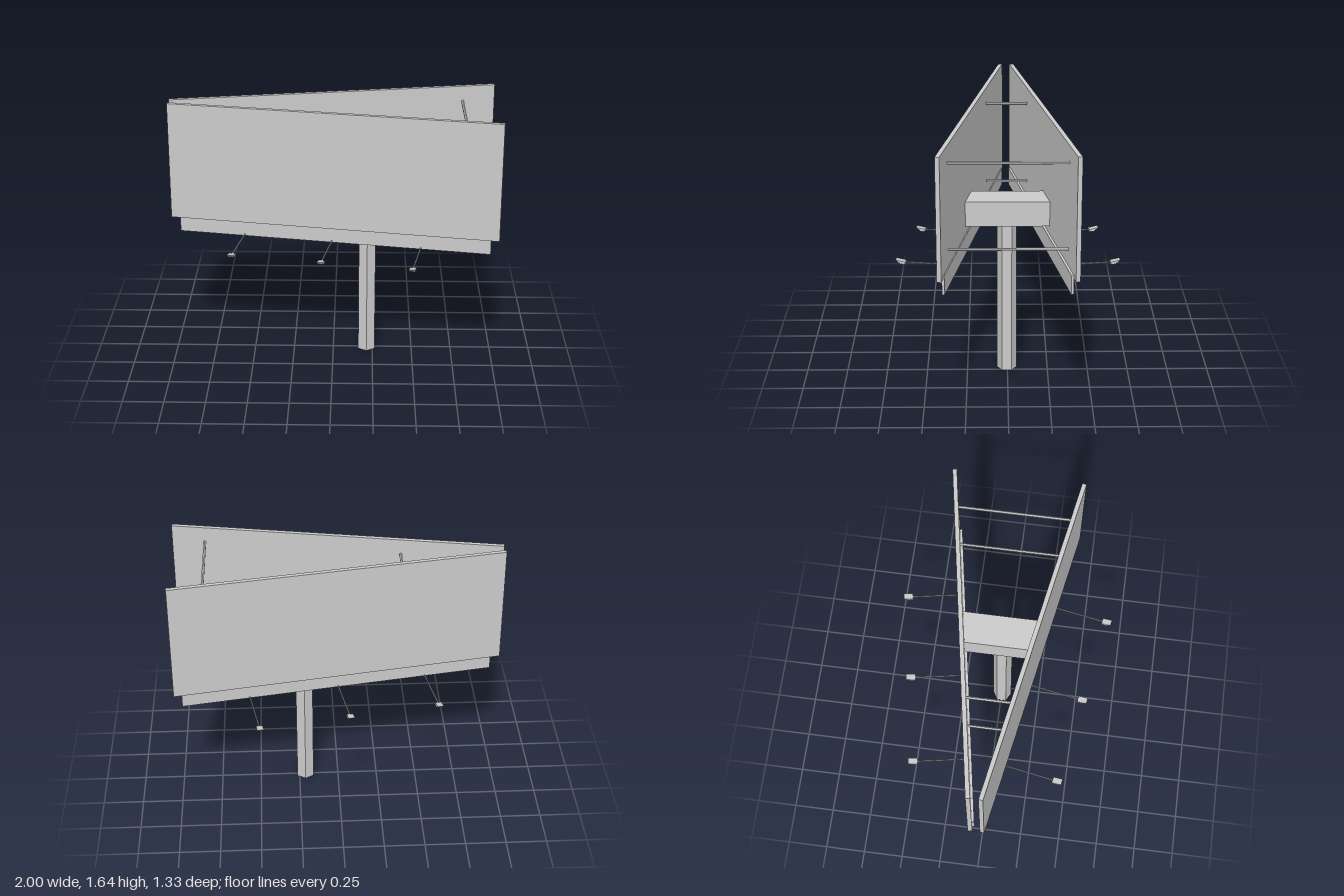
import * as THREE from 'three';

const ANGLE = THREE.MathUtils.degToRad(10);
const PANEL_Z = 0.212;
const TAN = Math.tan(ANGLE);

const material = new THREE.MeshStandardMaterial({ color: 0xcccccc, flatShading: true });
const openMaterial = new THREE.MeshStandardMaterial({ color: 0xcccccc, flatShading: true, side: THREE.DoubleSide });

function add(parent, name, geometry, x, y, z, mat = material) {
  const mesh = new THREE.Mesh(geometry, mat);
  mesh.name = name;
  mesh.position.set(x, y, z);
  parent.add(mesh);
  return mesh;
}

function shapeFrom(points) {
  return new THREE.Shape(points.map(([x, y]) => new THREE.Vector2(x, y)));
}

// Six-sided bar lying along z
function barGeometry(radius, length) {
  return new THREE.CylinderGeometry(radius, radius, length, 6).rotateX(Math.PI / 2);
}

// Lamp head: thin wedge, profile in z and y, extruded across x
function lampHeadGeometry() {
  const profile = shapeFrom([[0.03, 0.015], [-0.028, 0.005], [-0.028, -0.01], [0.0, -0.01]]);
  return new THREE.ExtrudeGeometry(profile, { depth: 0.038, bevelEnabled: false })
    .translate(0, 0, -0.019)
    .rotateY(-Math.PI / 2);
}

// One advertising face with its lower skirt and lamps; local +z is outward
function createSide(name, skirtX, skirtZ, lampX) {
  const side = new THREE.Group();
  side.name = name;
  add(side, 'panel', new THREE.BoxGeometry(2.026, 0.733, 0.026), 0, 1.2765, 0);
  add(side, 'skirt', new THREE.BoxGeometry(1.924, 0.115, 0.015), skirtX, 0.8725, skirtZ);
  for (const i of [-1, 0, 1]) {
    const x = lampX + i * 0.546;
    add(side, 'lampArm', barGeometry(0.004, 0.32), x, 0.824, 0.15);
    add(side, 'lampHead', lampHeadGeometry(), x, 0.825, 0.331);
  }
  return side;
}

export function createModel() {
  const model = new THREE.Group();
  model.name = 'billboard';

  // Two faces spread in a V
  const front = createSide('frontFace', 0.0, -0.012, -0.006);
  front.position.z = PANEL_Z;
  front.rotation.y = -ANGLE;
  const back = createSide('backFace', 0.0, -0.02, -0.006);
  back.position.z = -PANEL_Z;
  back.rotation.y = Math.PI + ANGLE;
  model.add(front, back);

  // Six-sided post, open at the foot
  add(model, 'post', new THREE.CylinderGeometry(0.06, 0.06, 0.985, 6, 1, true), 0.212, 0.4925, 0.004, openMaterial);

  // Mounting block whose ends follow the slanted panels
  const [x0, x1] = [0.105, 0.305];
  const halfDepth = (x) => PANEL_Z + x * TAN - 0.013;
  const plan = shapeFrom([
    [x0, -halfDepth(x0)], [x1, -halfDepth(x1)], [x1, halfDepth(x1)], [x0, halfDepth(x0)],
  ]);
  const block = new THREE.ExtrudeGeometry(plan, { depth: 0.155, bevelEnabled: false }).rotateX(-Math.PI / 2);
  add(model, 'mountingBlock', block, 0, 0.98, 0);

  // Cross bars tying the faces together
  for (const [x, length] of [[0.8, 0.68], [-0.385, 0.26]]) {
    for (const y of [1.03, 1.545]) add(model, 'crossBar', barGeometry(0.009, length), x, y, 0);
  }
  return model;
}
